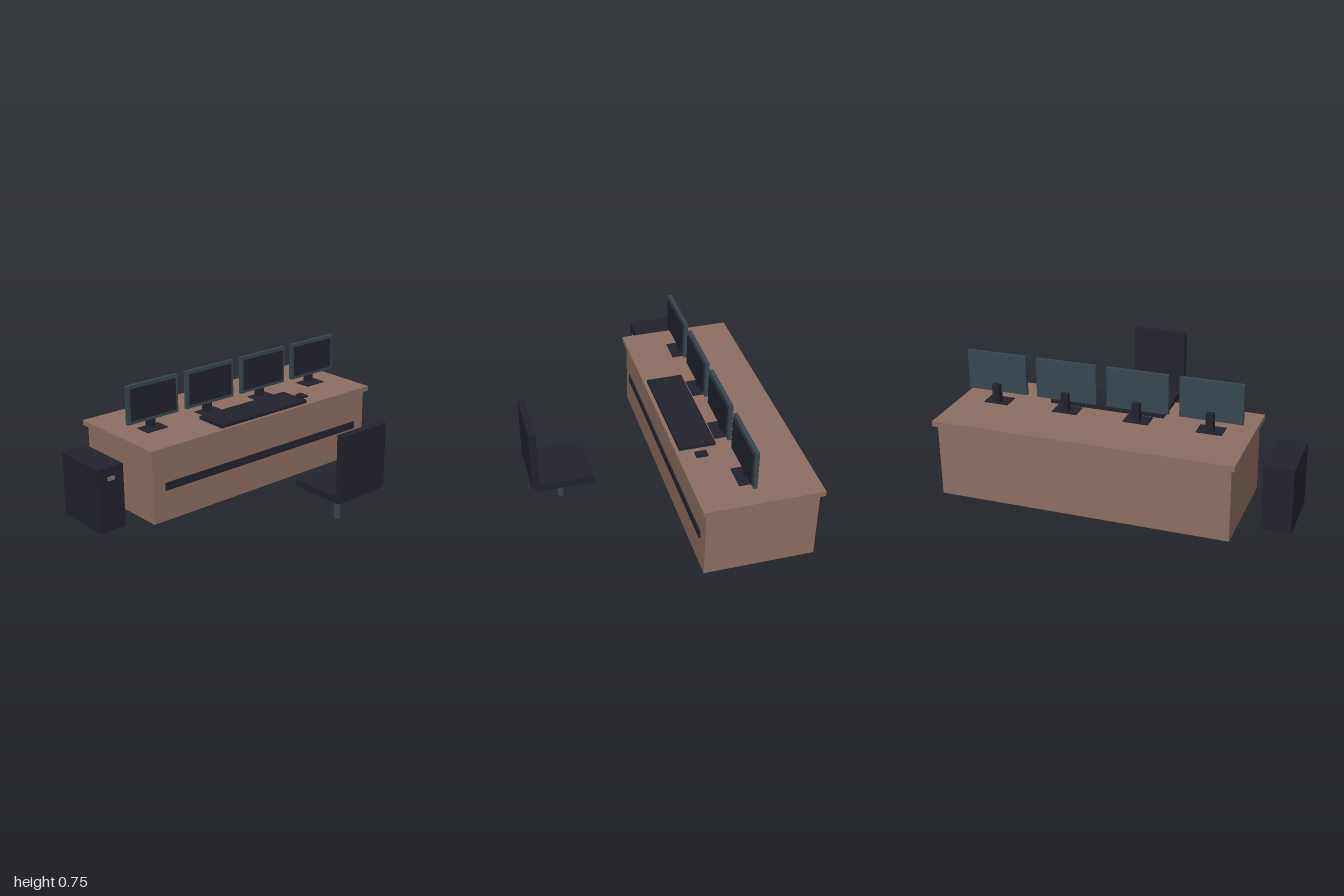
import * as THREE from 'three';

function material(name, color) {
  const m = new THREE.MeshStandardMaterial({ color });
  m.name = name;
  return m;
}

export function createModel() {
  const wood = material('brown wood', 0x8d6e63);
  const dark = material('dark plastic', 0x22222d);
  const slate = material('slate metal', 0x37474f);

  // Box given by its extents along each axis
  function box(parent, name, mat, [x0, x1], [y0, y1], [z0, z1]) {
    const mesh = new THREE.Mesh(new THREE.BoxGeometry(x1 - x0, y1 - y0, z1 - z0), mat);
    mesh.position.set((x0 + x1) / 2, (y0 + y1) / 2, (z0 + z1) / 2);
    mesh.name = name;
    parent.add(mesh);
  }

  function group(parent, name) {
    const g = new THREE.Group();
    g.name = name;
    parent.add(g);
    return g;
  }

  const model = new THREE.Group();
  model.name = 'workstation';

  // Desk with a trim strip along its front
  const desk = group(model, 'desk');
  box(desk, 'deskBody', wood, [-0.706, 0.974], [0, 0.424], [-0.706, -0.073]);
  box(desk, 'deskTop', wood, [-0.728, 0.997], [0.424, 0.455], [-0.727, -0.052]);
  box(desk, 'frontStrip', dark, [-0.622, 0.894], [0.188, 0.234], [-0.075, -0.065]);

  // Row of four monitors
  for (let i = 0; i < 4; i++) {
    const monitor = group(model, 'monitor' + (i + 1));
    monitor.position.x = -0.497 + i * 0.421;
    box(monitor, 'frame', slate, [-0.179, 0.179], [0.516, 0.748], [-0.357, -0.335]);
    box(monitor, 'screen', dark, [-0.158, 0.158], [0.537, 0.728], [-0.335, -0.326]);
    box(monitor, 'stand', dark, [-0.021, 0.021], [0.455, 0.568], [-0.39, -0.348]);
    box(monitor, 'standBase', dark, [-0.073, 0.073], [0.455, 0.46], [-0.398, -0.297]);
  }

  // Keyboard and mouse
  box(model, 'keyboard', dark, [-0.204, 0.472], [0.455, 0.475], [-0.284, -0.074]);
  box(model, 'mouse', dark, [0.512, 0.556], [0.455, 0.467], [-0.216, -0.15]);

  // Computer tower beside the desk
  const tower = group(model, 'computerTower');
  box(tower, 'case', dark, [-1, -0.832], [0, 0.38], [-0.528, -0.174]);
  box(tower, 'powerButton', wood, [-0.937, -0.895], [0.304, 0.325], [-0.174, -0.165]);

  // Chair on a single post
  const chair = group(model, 'chair');
  box(chair, 'seat', dark, [-0.034, 0.302], [0.19, 0.233], [0.37, 0.707]);
  box(chair, 'backrest', dark, [-0.034, 0.302], [0.212, 0.591], [0.687, 0.729]);
  const postGeometry = new THREE.CylinderGeometry(0.021, 0.021, 0.19, 8).toNonIndexed();
  postGeometry.computeVertexNormals();
  const post = new THREE.Mesh(postGeometry, slate);
  post.position.set(0.134, 0.095, 0.54);
  post.name = 'chairPost';
  chair.add(post);

  return model;
}
